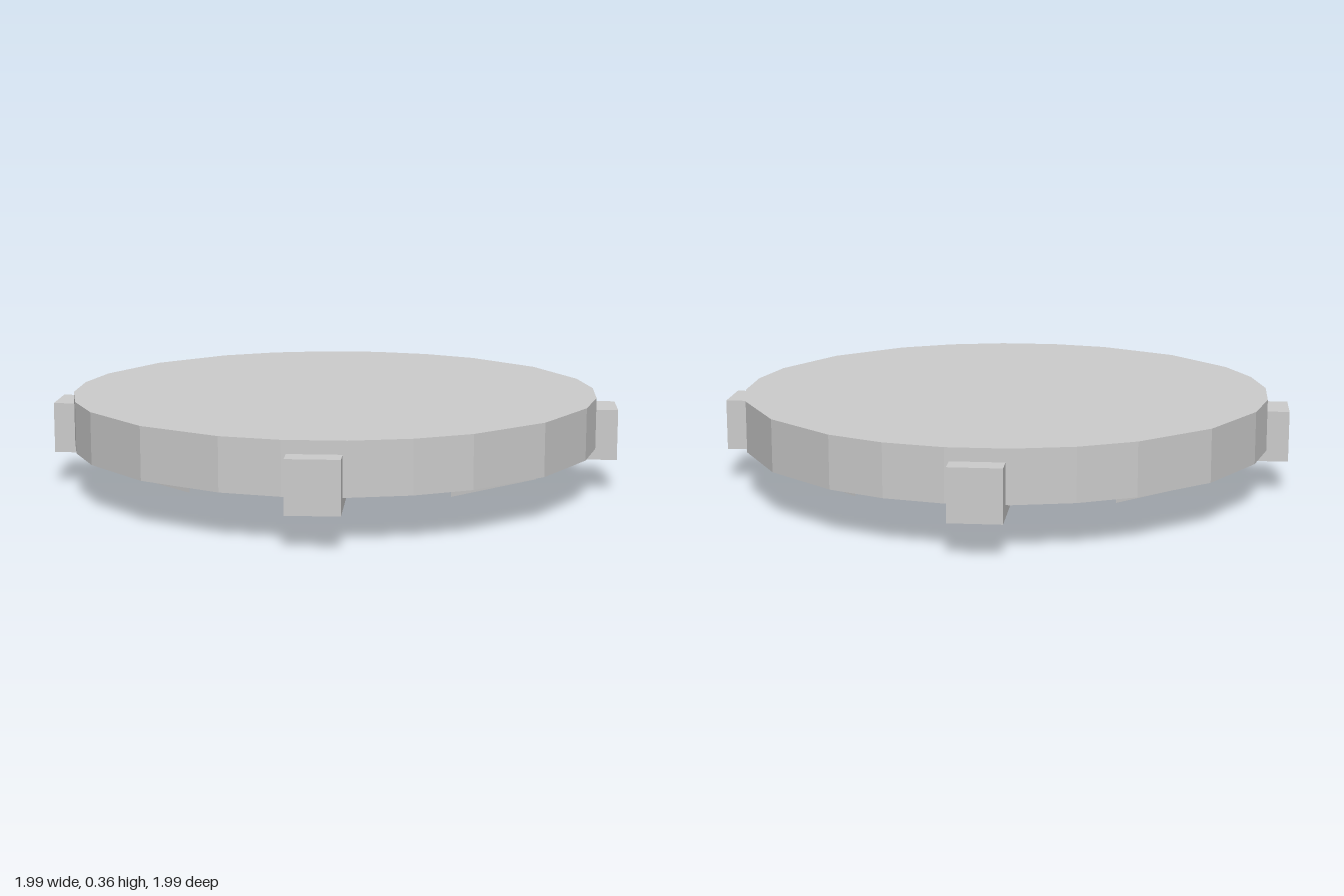
import * as THREE from 'three';

const material = new THREE.MeshStandardMaterial({ color: 0xcccccc, flatShading: true });
const thinMaterial = new THREE.MeshStandardMaterial({ color: 0xcccccc, flatShading: true, side: THREE.DoubleSide });

const BASE = 0.17;  // underside of the disc
const TOP = 0.365;  // upper face of the disc
const FOOT = 0.125; // underside of clips and ribs

function add(parent, name, geometry, mat = material) {
  const mesh = new THREE.Mesh(geometry, mat);
  mesh.name = name;
  parent.add(mesh);
  return mesh;
}

export function createModel() {
  const model = new THREE.Group();
  model.name = 'clippedDisc';

  // Disc: 28 steps round, with one pair of corners merged at each axis
  const steps = [];
  for (let k = 1; k <= 27; k++) {
    if ([8, 14, 21, 27].includes(k)) continue;
    steps.push({ 7: 7.5, 13: 13.5, 20: 20.5 }[k] ?? k);
  }
  steps.push(27.5);
  const outline = new THREE.Shape(steps.map((k) => {
    const a = (k / 28) * Math.PI * 2;
    return new THREE.Vector2(Math.sin(a), Math.cos(a));
  }));
  const disc = new THREE.ExtrudeGeometry(outline, { depth: TOP - BASE, bevelEnabled: false });
  disc.rotateX(-Math.PI / 2).translate(0, BASE, 0);
  add(model, 'disc', disc);

  // Square hub underneath, slightly off centre
  add(model, 'hub', new THREE.BoxGeometry(0.3, BASE, 0.3)).position.set(-0.025, BASE / 2, -0.025);

  // L-shaped clip: a foot under the disc and an upright on its rim
  const profile = new THREE.Shape([
    [0.645, FOOT], [1.077, FOOT], [1.077, 0.317], [0.99, 0.317], [0.99, BASE], [0.645, BASE],
  ].map(([r, y]) => new THREE.Vector2(r, y)));
  const clip = new THREE.ExtrudeGeometry(profile, { depth: 0.19, bevelEnabled: false });
  clip.translate(0, 0, -0.095);

  // Thin upright rib under the disc
  const rib = new THREE.PlaneGeometry(0.43, BASE - FOOT);
  rib.translate(0, (BASE + FOOT) / 2, 0.86);

  for (let i = 0; i < 4; i++) {
    add(model, 'clip', clip).rotation.y = Math.PI / 4 + i * Math.PI / 2;
    add(model, 'rib', rib, thinMaterial).rotation.y = i * Math.PI / 2;
  }
  return model;
}
